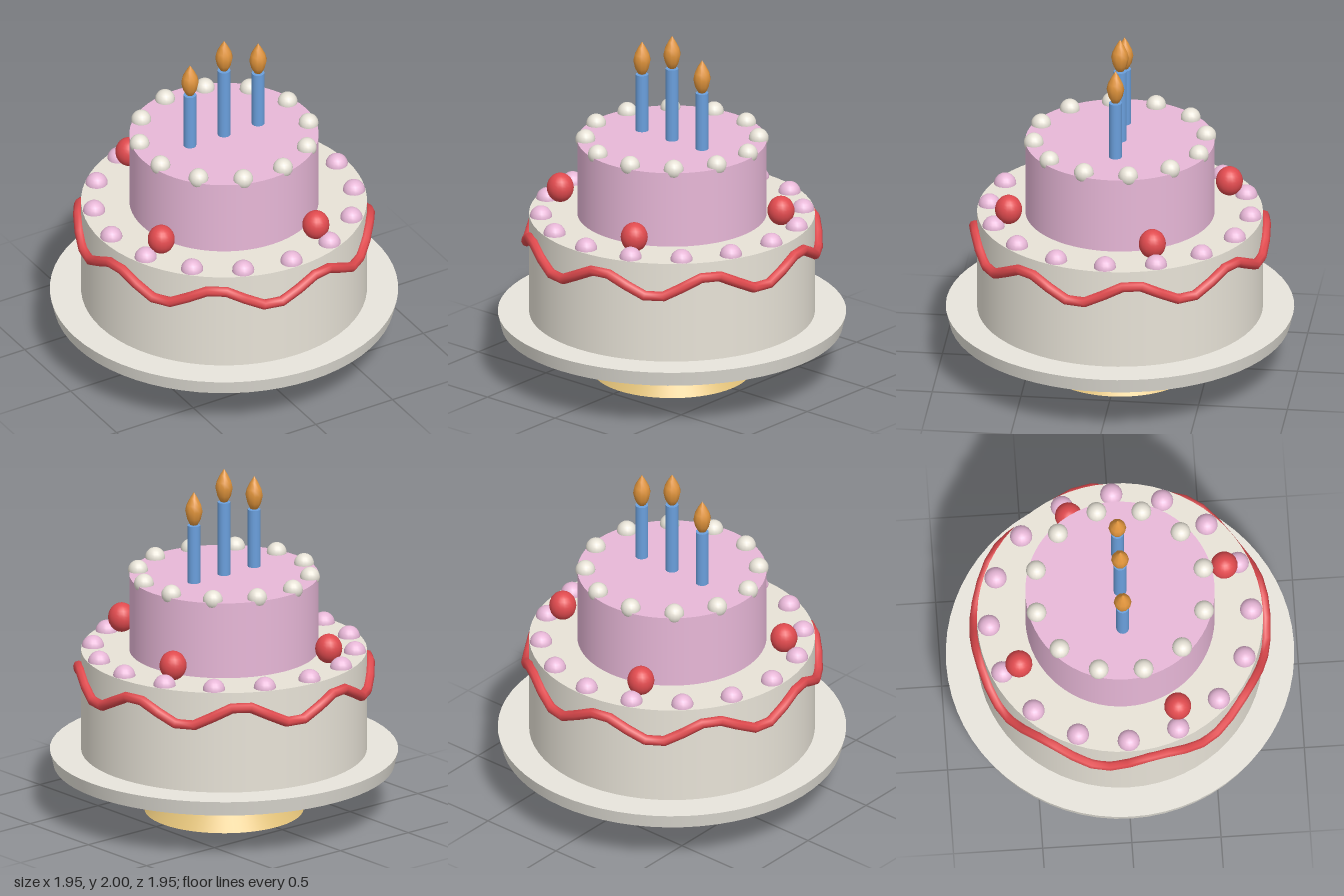
import * as THREE from 'three';

const mat = (name, color) => new THREE.MeshStandardMaterial({ name, color });

// Closed zigzag ring; parameter runs evenly by angle
class GarlandCurve extends THREE.Curve {
  getPoint(t, target = new THREE.Vector3()) {
    const a = t * Math.PI * 2;
    return target.set(0.815 * Math.sin(a), 0.803 + 0.06 * Math.sin(8 * a), 0.815 * Math.cos(a));
  }
  getUtoTmapping(u) { return u; }
}

export function createModel() {
  const cake = new THREE.Group();
  cake.name = 'cake';

  const gold = mat('gold', 0xe0c078);
  const china = mat('china', 0xece9e0);
  const cream = mat('cream', 0xf0ebdf);
  const pink = mat('pinkIcing', 0xe8b8d8);
  const red = mat('red', 0xe04a4e);
  const blue = mat('candleBlue', 0x6a9fdc);
  const orange = mat('flameOrange', 0xe0943c);

  const add = (name, geometry, material, x = 0, y = 0, z = 0) => {
    const mesh = new THREE.Mesh(geometry, material);
    mesh.name = name;
    mesh.position.set(x, y, z);
    cake.add(mesh);
    return mesh;
  };

  // Upright round part between two heights
  const drum = (name, material, rTop, rBottom, y0, y1, x = 0, sides = 64) =>
    add(name, new THREE.CylinderGeometry(rTop, rBottom, y1 - y0, sides), material, x, (y0 + y1) / 2, 0);

  // Evenly spaced beads around a tier
  const beads = (name, material, count, ring, y, radius, start) => {
    const geometry = new THREE.SphereGeometry(radius, 16, 12);
    for (let i = 0; i < count; i++) {
      const a = start + (i / count) * Math.PI * 2;
      add(name, geometry, material, ring * Math.cos(a), y, ring * Math.sin(a));
    }
  };

  // Stand
  drum('standFoot', gold, 0.375, 0.445, 0, 0.09);
  drum('standStem', gold, 0.13, 0.155, 0.09, 0.275);
  drum('plate', china, 0.975, 0.955, 0.27, 0.355);

  // Tiers
  drum('lowerTier', cream, 0.8, 0.8, 0.355, 0.94);
  drum('upperTier', pink, 0.53, 0.53, 0.94, 1.38);

  // Icing garland and beads
  add('garland', new THREE.TubeGeometry(new GarlandCurve(), 48, 0.03, 8, true), red);
  beads('lowerBead', pink, 16, 0.735, 0.938, 0.063, 0);
  beads('upperBead', cream, 12, 0.485, 1.385, 0.056, 0.315);

  // Cherries
  const cherry = new THREE.SphereGeometry(0.076, 18, 14);
  for (const [x, z] of [[0.59, -0.25], [0.24, 0.6], [-0.58, 0.285], [-0.27, -0.585]]) {
    add('cherry', cherry, red, x, 1.03, z).scale.y = 1.1;
  }

  // Candles with flames
  const flameProfile = [[0, 0], [0.022, 0.01], [0.04, 0.045], [0.05, 0.09], [0.042, 0.125], [0.022, 0.165], [0, 0.2]]
    .map(([r, y]) => new THREE.Vector2(r, y));
  const flame = new THREE.LatheGeometry(flameProfile, 10);
  for (const [x, top] of [[-0.222, 1.715], [0, 1.805], [0.222, 1.715]]) {
    drum('candle', blue, 0.036, 0.036, 1.37, top, x, 16);
    add('flame', flame, orange, x, top - 0.005, 0);
  }

  return cake;
}
